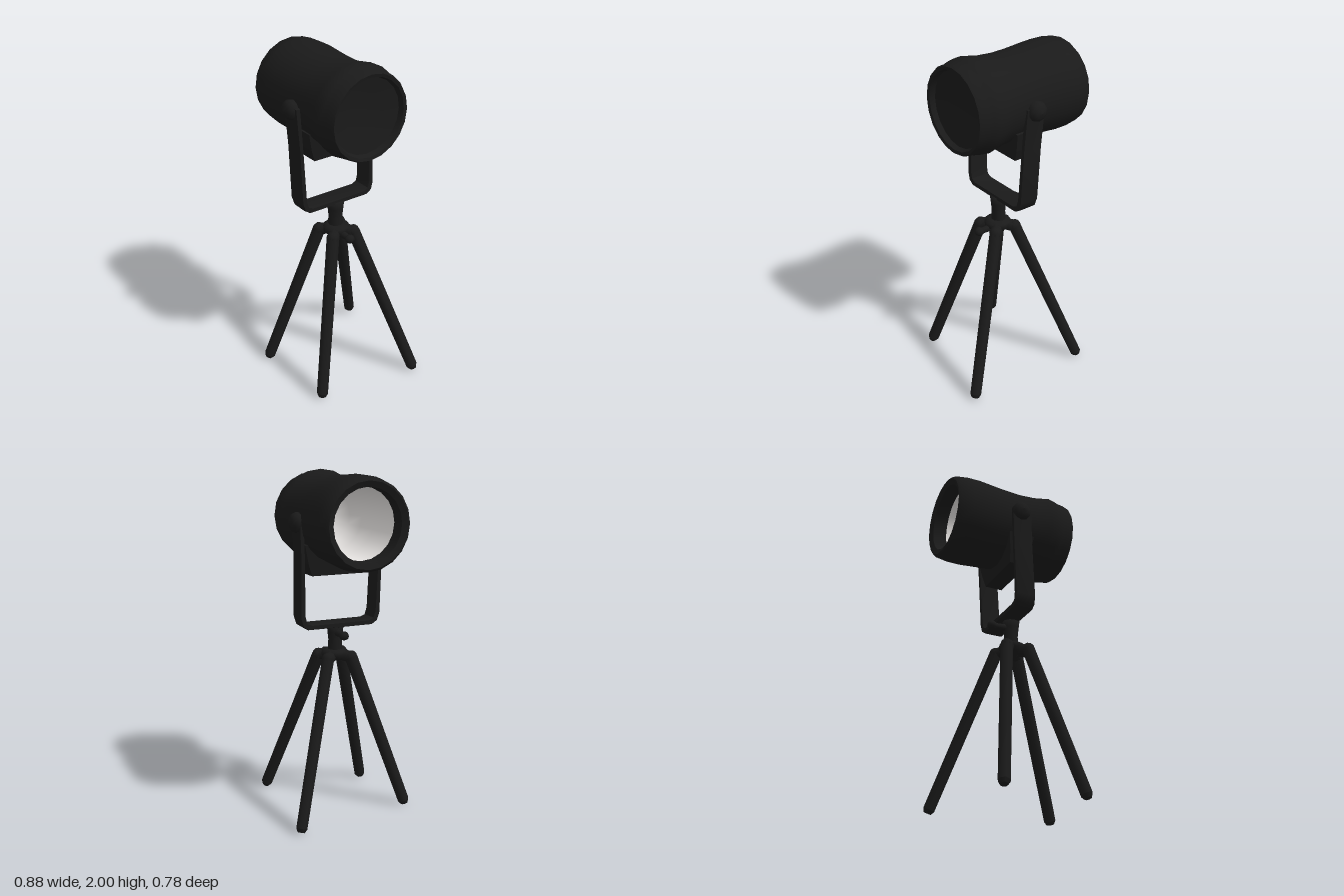
import * as THREE from 'three';
import { toCreasedNormals } from 'three/addons/utils/BufferGeometryUtils.js';

const V = (x, y, z) => new THREE.Vector3(x, y, z);

export function createModel() {
  const model = new THREE.Group();
  const black = new THREE.MeshStandardMaterial({ color: 0x1a1a1a });
  black.name = 'black metal';
  const white = new THREE.MeshStandardMaterial({ color: 0xe8e5e3 });
  white.name = 'white reflector';

  const add = (name, geometry, material = black, parent = model) => {
    const mesh = new THREE.Mesh(geometry, material);
    mesh.name = name;
    parent.add(mesh);
    return mesh;
  };
  const lathe = (points, sides) =>
    new THREE.LatheGeometry(points.map(([r, y]) => new THREE.Vector2(r, y)), sides);
  // Tapered rod between two points
  const rod = (name, a, b, ra, rb, sides = 8) => {
    const mesh = add(name, new THREE.CylinderGeometry(rb, ra, a.distanceTo(b), sides));
    mesh.position.copy(a).lerp(b, 0.5);
    mesh.quaternion.setFromUnitVectors(V(0, 1, 0), b.clone().sub(a).normalize());
    return mesh;
  };

  // Lamp: a waisted drum lying along x, open at one end, dished at the other
  const lamp = new THREE.Group();
  lamp.name = 'lamp';
  lamp.position.set(0, 1.73, -0.006);
  model.add(lamp);
  const drum = lathe([
    [0.2, -0.34], [0.202, -0.425], [0.235, -0.44], [0.25, -0.425],
    [0.261, -0.35], [0.262, -0.27], [0.25, -0.12], [0.245, 0], [0.251, 0.1],
    [0.262, 0.16], [0.27, 0.2], [0.262, 0.24], [0.254, 0.265], [0.251, 0.305],
    [0.243, 0.32], [0.225, 0.315], [0.215, 0.285], [0.12, 0.27], [0, 0.265],
  ], 20);
  drum.rotateZ(-Math.PI / 2);
  add('drum', toCreasedNormals(drum, 0.8), black, lamp);

  // White reflector cup lining the inside, facing the open end
  const cup = lathe([[0, 0.24], [0.1, 0.225], [0.17, 0.16], [0.195, 0.05], [0.201, -0.1], [0.201, -0.345]], 20);
  cup.rotateZ(-Math.PI / 2);
  add('reflector', cup, white, lamp);

  // Saddle block hugging the underside of the drum
  const saddleShape = new THREE.Shape();
  saddleShape.moveTo(0.222, 1.6);
  saddleShape.lineTo(0.195, 1.49);
  saddleShape.lineTo(0.17, 1.42);
  saddleShape.lineTo(-0.17, 1.42);
  saddleShape.lineTo(-0.195, 1.49);
  saddleShape.lineTo(-0.222, 1.6);
  saddleShape.absarc(0, 1.73, 0.23, Math.PI + 0.6, 2 * Math.PI - 0.6, false);
  const saddle = new THREE.ExtrudeGeometry(saddleShape, { depth: 0.16, bevelEnabled: false });
  saddle.translate(0, 0, -0.08).rotateY(Math.PI / 2);
  const sp = saddle.attributes.position;
  for (let i = 0; i < sp.count; i++) {
    const taper = THREE.MathUtils.mapLinear(sp.getY(i), 1.42, 1.6, 0.68, 1);
    sp.setX(i, sp.getX(i) * Math.min(taper, 1) - 0.02);
  }
  saddle.computeVertexNormals();
  add('saddle', saddle).position.z = -0.01;

  // U-shaped yoke, leaning back slightly towards the top
  const outer = [[0.262, 1.74], [0.25, 1.5], [0.247, 1.18], [0.232, 1.133], [0.2, 1.112]];
  const inner = [[0.18, 1.135], [0.21, 1.148], [0.222, 1.19], [0.23, 1.5], [0.238, 1.74]];
  const flip = (list) => list.map(([z, y]) => [-z, y]).reverse();
  const outline = [...outer, ...flip(outer), ...flip(inner), ...inner];
  const yoke = new THREE.ExtrudeGeometry(
    new THREE.Shape(outline.map(([z, y]) => new THREE.Vector2(z, y))),
    { depth: 0.1, bevelThickness: 0.009, bevelSize: 0.003, bevelSegments: 1 });
  yoke.translate(0, 0, -0.05).rotateY(Math.PI / 2);
  const yp = yoke.attributes.position;
  for (let i = 0; i < yp.count; i++) {
    yp.setX(i, yp.getX(i) - 0.012 - (yp.getY(i) - 1.12) * 0.05);
  }
  yoke.computeVertexNormals();
  add('yoke', toCreasedNormals(yoke, 0.8));

  // Pivot knobs on both sides
  for (const side of [1, -1]) {
    const knob = lathe([[0.055, 0], [0.058, 0.022], [0.05, 0.042], [0.03, 0.056], [0, 0.063]], 10);
    knob.rotateX(side * Math.PI / 2);
    add('pivotKnob', knob).position.set(-0.048, 1.722, side * 0.241 - 0.002);
  }

  // Neck and hub
  add('neck', lathe([[0.046, 0.93], [0.041, 1.02], [0.046, 1.07], [0.052, 1.12], [0, 1.12]], 10))
    .position.x = 0.01;
  add('hub', lathe([[0, 0.9], [0.055, 0.905], [0.08, 0.93], [0.077, 0.957], [0.05, 0.968], [0, 0.968]], 12))
    .position.x = 0.017;

  // Clamp screws with flattened heads
  const clamp = (y, from, neck, tip) => {
    rod('clampStem', V(from, y, 0), V(neck, y, 0), 0.024, 0.018);
    const head = add('clampHead', new THREE.SphereGeometry(1, 8, 6));
    head.scale.set(Math.abs(tip - neck) / 2 + 0.008, 0.026, 0.03);
    head.position.set((neck + tip) / 2, y, 0);
  };
  clamp(1.068, 0, -0.09, -0.135);
  clamp(0.922, 0.05, 0.13, 0.172);

  // Four splayed legs bending out of the hub
  const feet = [[-0.325, -0.36], [-0.205, 0.358], [0.303, 0.31], [0.412, -0.297]];
  for (const [x, z] of feet) {
    const knee = V(0.017 + Math.sign(x) * 0.07, 0.922, Math.sign(z) * 0.074);
    const foot = V(x, 0.03, z);
    rod('legRoot', V(0.017, 0.938, 0), knee, 0.032, 0.036);
    const joint = add('legKnee', new THREE.SphereGeometry(0.039, 8, 6));
    joint.position.copy(knee);
    rod('leg', knee, foot, 0.038, 0.034);
    const dir = foot.clone().sub(knee).normalize();
    rod('legFoot', foot, foot.clone().addScaledVector(dir, 0.022), 0.034, 0.022);
  }
  return model;
}
